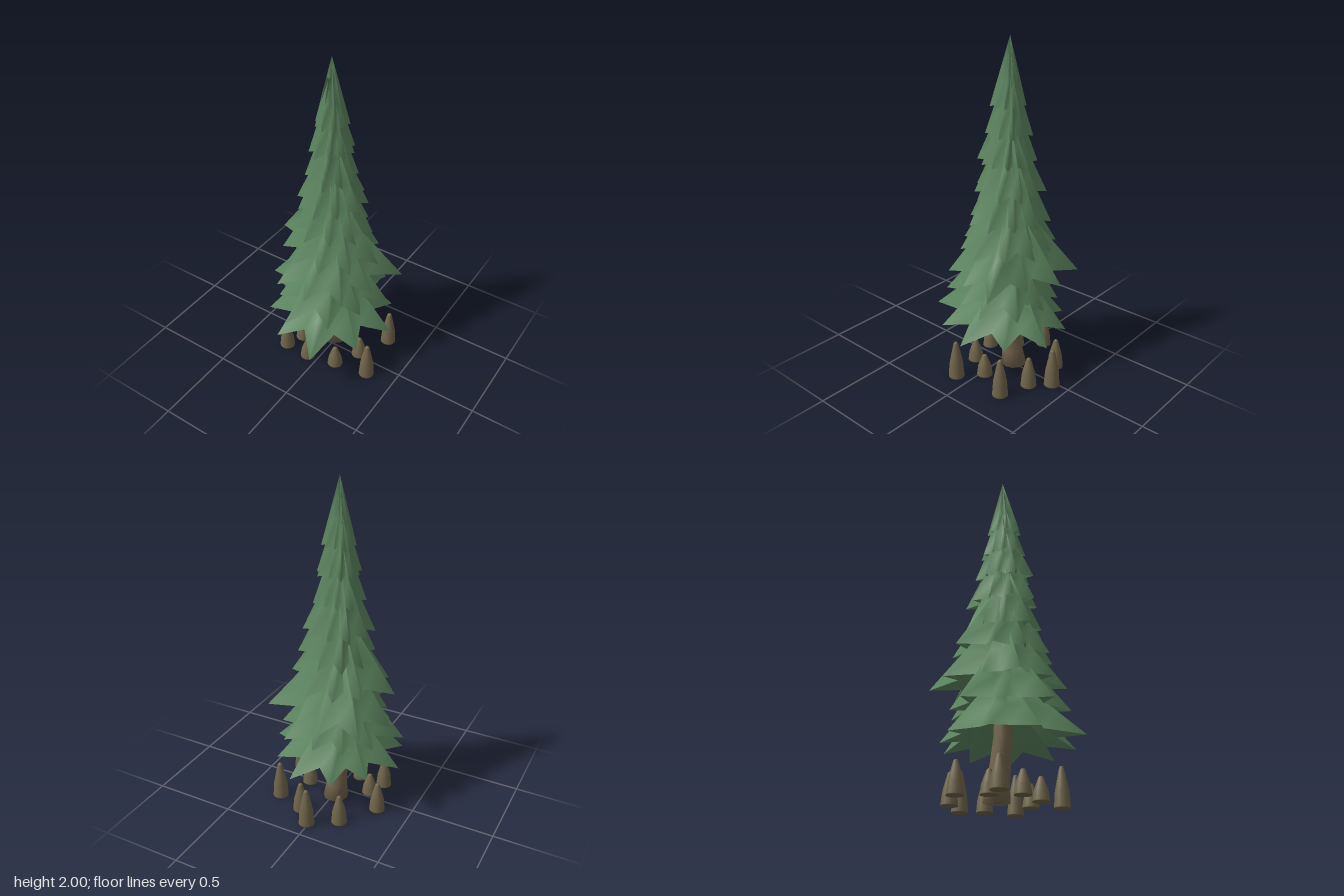
import * as THREE from 'three';

// Smooth skin over closed rings of points, listed from bottom to top
function loft(rings) {
  const n = rings[0].length, index = [];
  for (let r = 0; r < rings.length - 1; r++) {
    for (let i = 0; i < n; i++) {
      const j = (i + 1) % n, a = r * n, b = a + n;
      index.push(b + i, a + j, a + i, b + i, b + j, a + j);
    }
  }
  const g = new THREE.BufferGeometry();
  g.setAttribute('position', new THREE.Float32BufferAttribute(rings.flat(2), 3));
  g.setIndex(index);
  g.computeVertexNormals();
  return g;
}

const CX = -0.02, CZ = -0.03;
const TIPS = 10;

// Branch tiers: tip height, cone height, first tip angle in degrees, valley rise, valley depth ratio, tip radii
const tiers = [
  [0.305, 0.45, 0, 0.035, 0.66, [0.43, 0.41, 0.485, 0.42, 0.39, 0.39, 0.335, 0.36, 0.405, 0.38]],
  [0.47, 0.49, 24, 0.03, 0.65, [0.31, 0.385, 0.42, 0.33, 0.39, 0.3, 0.29, 0.29, 0.35, 0.36]],
  [0.625, 0.50, 12, 0.03, 0.64, [0.33, 0.36, 0.35, 0.36, 0.28, 0.375, 0.405, 0.355, 0.29, 0.425]],
  [0.795, 0.50, 0, 0.025, 0.63, [0.32, 0.29, 0.29, 0.28, 0.29, 0.35, 0.28, 0.26, 0.27, 0.28]],
  [0.96, 0.52, 24, 0.02, 0.6, [0.25, 0.23, 0.25, 0.22, 0.2, 0.21, 0.24, 0.23, 0.22, 0.25]],
  [1.125, 0.46, 12, 0.015, 0.58, [0.225, 0.2, 0.23, 0.21, 0.2, 0.2, 0.21, 0.19, 0.21, 0.21]],
  [1.295, 0.45, 0, 0.012, 0.58, [0.155, 0.16, 0.2, 0.18, 0.15, 0.14, 0.16, 0.13, 0.12, 0.15]],
  [1.46, 0.42, 24, 0.01, 0.58, [0.13, 0.14, 0.15, 0.13, 0.11, 0.12, 0.13, 0.11, 0.13, 0.13]],
  [1.62, 0.38, 12, 0.01, 0.58, [0.1, 0.11, 0.125, 0.1, 0.09, 0.085, 0.09, 0.08, 0.09, 0.1]],
];

// Pleated star cone: long tips alternate with valleys that fold deeper higher up
function tierGeometry([y, height, phase, rise, ratio, radii]) {
  const rings = [0, 0.35, 0.7, 0.985].map((t) => {
    const ring = [];
    const fold = ratio * (1 - 0.2 * Math.min(1, t / 0.35));
    for (let i = 0; i < TIPS * 2; i++) {
      const k = i >> 1, valley = i % 2 === 1;
      const a = THREE.MathUtils.degToRad(phase + i * 180 / TIPS);
      const r = valley ? fold * (radii[k] + radii[(k + 1) % TIPS]) / 2 : radii[k];
      const bottom = y + (valley ? rise : 0);
      const s = r * (1 - t);
      ring.push([CX + s * Math.cos(a), bottom + (y + height - bottom) * t, CZ + s * Math.sin(a)]);
    }
    return ring;
  });
  // Close the point of the cone
  rings.push(rings[0].map(() => [CX, y + height, CZ]));
  return loft(rings);
}

// Leaning trunk with a flared foot: y, radius, z of each ring
function trunkGeometry() {
  const rows = [[0.01, 0.001, -0.072], [0.01, 0.076, -0.072], [0.1, 0.063, -0.06], [0.35, 0.055, -0.024], [0.72, 0.04, CZ]];
  return loft(rows.map(([y, r, z]) => Array.from({ length: 12 }, (_, i) => {
    const a = i / 12 * Math.PI * 2;
    return [-0.015 + r * Math.cos(a), y, z + r * Math.sin(a)];
  })));
}

// Blunt-tipped root knee
function kneeGeometry(h) {
  const profile = [[0, 0], [0.048, 0], [0.047, 0.03], [0.041, 0.38], [0.031, 0.6], [0.014, 0.95], [0.008, 0.99], [0, 1]];
  return new THREE.LatheGeometry(profile.map(([r, t]) => new THREE.Vector2(r, t * h)), 14);
}

// x, z, height of each knee
const knees = [
  [0.32, 0.095, 0.235], [0.29, -0.225, 0.235], [0.015, -0.39, 0.235],
  [0.11, -0.29, 0.185], [-0.15, -0.29, 0.185], [-0.30, -0.08, 0.185], [-0.235, 0.165, 0.185],
  [-0.07, 0.17, 0.135], [0.11, 0.13, 0.135], [0.195, -0.02, 0.135], [-0.19, 0.05, 0.135],
];

export function createModel() {
  const needles = new THREE.MeshStandardMaterial({ color: 0x5a825d, side: THREE.DoubleSide });
  needles.name = 'needleGreen';
  const bark = new THREE.MeshStandardMaterial({ color: 0x73644c });
  bark.name = 'barkBrown';
  const root = new THREE.MeshStandardMaterial({ color: 0x70654a });
  root.name = 'rootBrown';

  const model = new THREE.Group();
  model.name = 'swampConifer';
  const add = (name, geometry, material, parent = model) => {
    const mesh = new THREE.Mesh(geometry, material);
    mesh.name = name;
    parent.add(mesh);
    return mesh;
  };

  add('trunk', trunkGeometry(), bark);

  const foliage = new THREE.Group();
  foliage.name = 'foliage';
  model.add(foliage);
  tiers.forEach((tier, i) => add(`branchTier${i + 1}`, tierGeometry(tier), needles, foliage));

  const rootKnees = new THREE.Group();
  rootKnees.name = 'rootKnees';
  model.add(rootKnees);
  knees.forEach(([x, z, h], i) => {
    add(`rootKnee${i + 1}`, kneeGeometry(h), root, rootKnees).position.set(x, 0.005, z);
  });

  return model;
}
